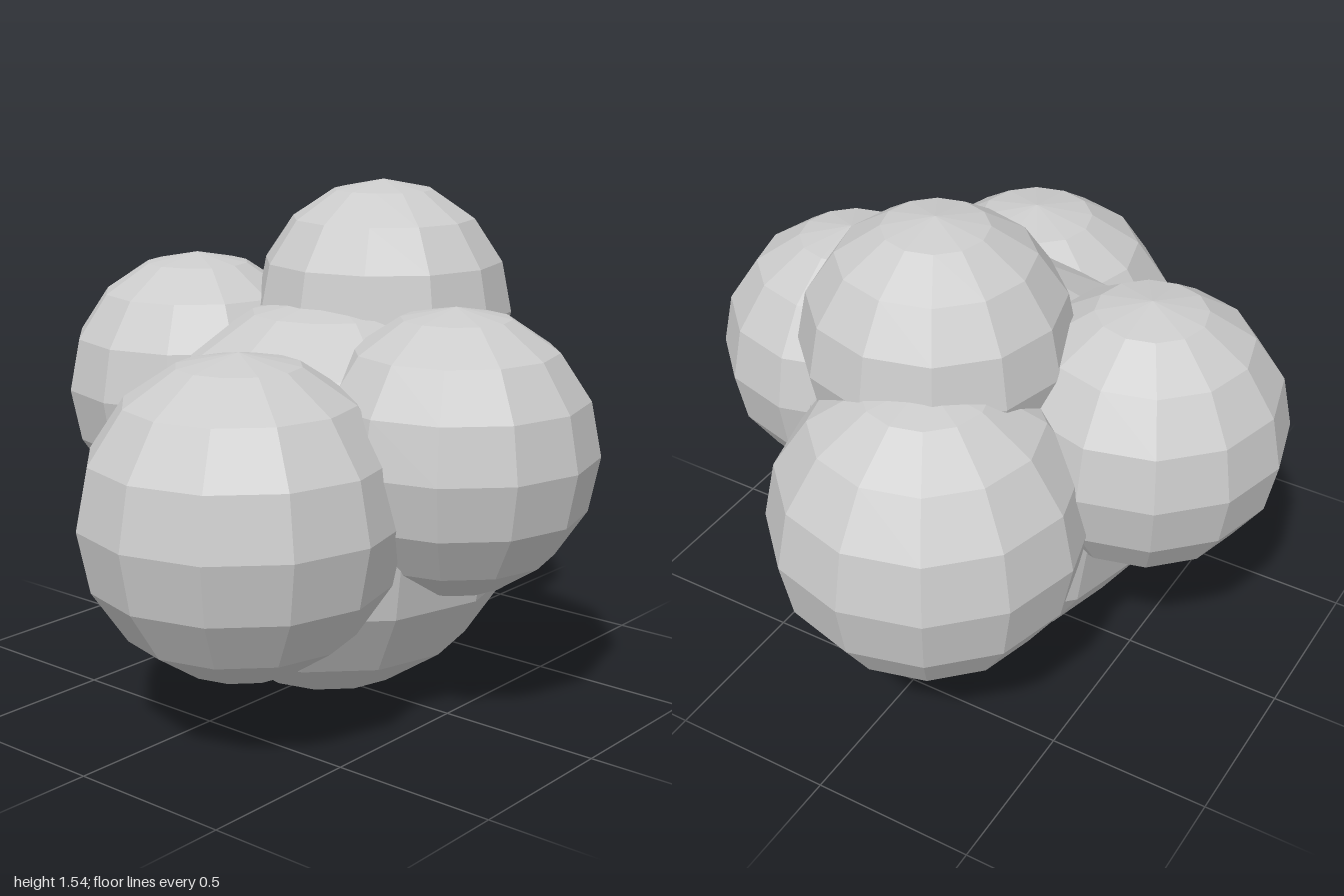
import * as THREE from 'three';

// name, radius, centre x, y, z
const PUFFS = [
  ['corePuff', 0.605, 0, 0.605, 0.035],
  ['leftPuff', 0.465, 0.535, 0.735, -0.1],
  ['rightPuff', 0.465, -0.535, 0.67, 0.165],
  ['frontPuff', 0.418, 0, 0.81, 0.506],
  ['backPuff', 0.42, 0, 0.873, -0.506],
  ['topPuff', 0.398, 0.265, 1.138, 0.032],
];

export function createModel() {
  const model = new THREE.Group();
  model.name = 'puffCluster';
  const material = new THREE.MeshStandardMaterial({ color: 0xcccccc, flatShading: true });

  // Overlapping faceted balls gathered around a larger core
  for (const [name, radius, x, y, z] of PUFFS) {
    const puff = new THREE.Mesh(new THREE.SphereGeometry(radius, 12, 8), material);
    puff.name = name;
    puff.position.set(x, y, z);
    model.add(puff);
  }
  return model;
}
